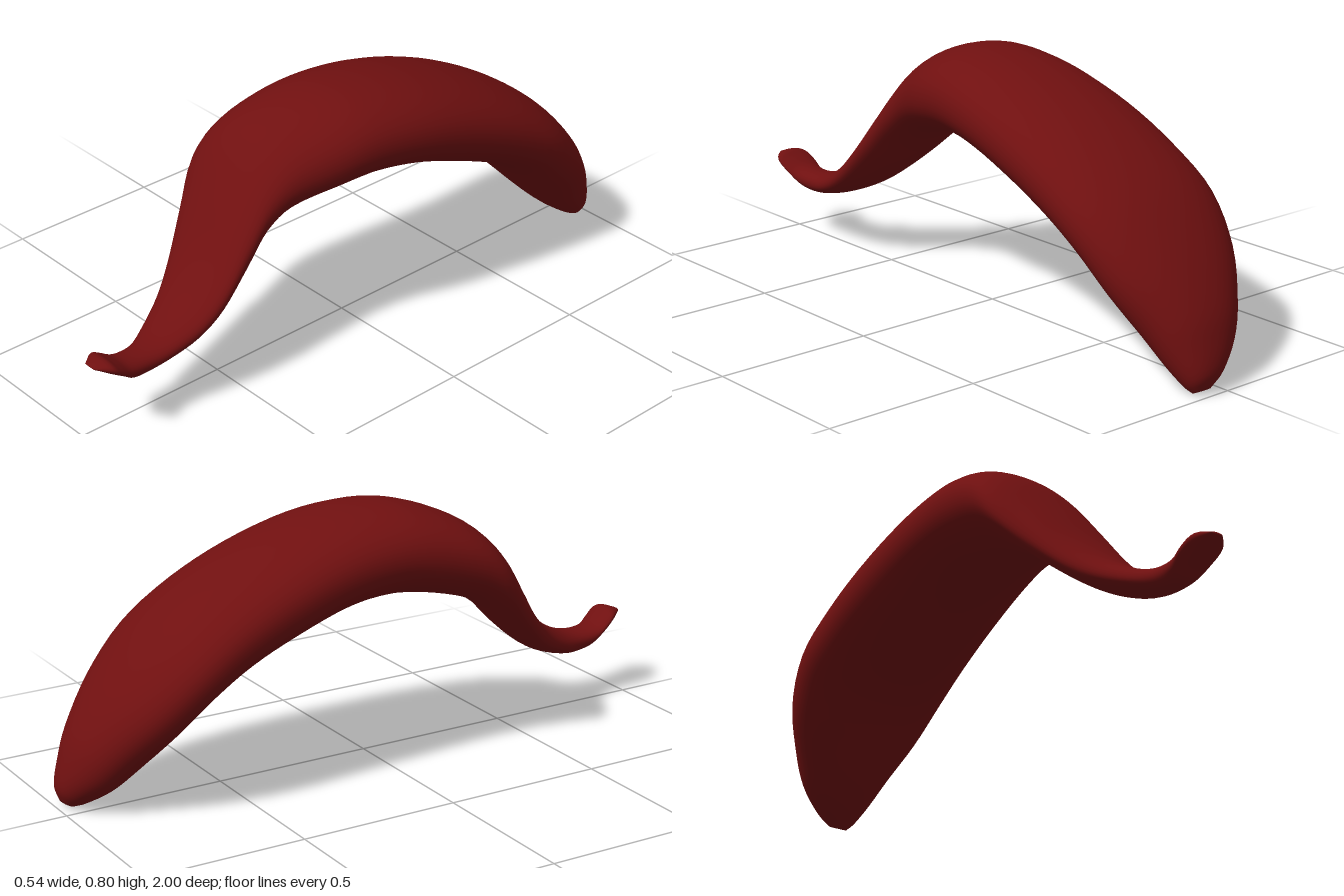
import * as THREE from 'three';

// Stations from the curled front tip to the drooping back end:
// [top z, top y, bottom z, bottom y, min x, max x]
const STATIONS = [
  [1.0, 0.275, 0.995, 0.268, 0.035, 0.075],
  [0.96, 0.287, 0.95, 0.24, 0.0, 0.112],
  [0.93, 0.27, 0.90, 0.205, -0.012, 0.108],
  [0.88, 0.243, 0.865, 0.178, -0.012, 0.095],
  [0.80, 0.24, 0.82, 0.17, -0.02, 0.09],
  [0.72, 0.265, 0.75, 0.178, -0.055, 0.10],
  [0.62, 0.33, 0.66, 0.205, -0.10, 0.12],
  [0.53, 0.425, 0.58, 0.245, -0.15, 0.127],
  [0.44, 0.55, 0.48, 0.325, -0.21, 0.12],
  [0.35, 0.665, 0.39, 0.41, -0.265, 0.115],
  [0.26, 0.735, 0.29, 0.475, -0.272, 0.135],
  [0.13, 0.785, 0.14, 0.512, -0.26, 0.19],
  [0.0, 0.80, 0.0, 0.525, -0.25, 0.22],
  [-0.18, 0.78, -0.15, 0.505, -0.248, 0.245],
  [-0.38, 0.72, -0.32, 0.45, -0.255, 0.26],
  [-0.57, 0.63, -0.48, 0.385, -0.26, 0.268],
  [-0.73, 0.52, -0.60, 0.315, -0.26, 0.265],
  [-0.86, 0.38, -0.70, 0.22, -0.22, 0.238],
  [-0.95, 0.245, -0.79, 0.125, -0.145, 0.188],
  [-0.985, 0.15, -0.86, 0.06, -0.085, 0.155],
  [-1.0, 0.07, -0.92, 0.018, -0.01, 0.125],
  [-0.985, 0.02, -0.95, 0.004, 0.04, 0.10],
];

// Smooth loft of slightly squared ellipses through the stations
function loftGeometry(stations, rings, sides) {
  const curve = (f) => new THREE.CatmullRomCurve3(stations.map(f), false, 'catmullrom');
  const top = curve((s) => new THREE.Vector3(0, s[1], s[0]));
  const bottom = curve((s) => new THREE.Vector3(0, s[3], s[2]));
  const span = curve((s) => new THREE.Vector3(s[4], s[5], 0));
  const soften = (v) => Math.sign(v) * Math.pow(Math.abs(v), 0.94);

  const positions = [];
  const index = [];
  const centres = [];
  for (let i = 0; i <= rings; i++) {
    const t = i / rings;
    const a = top.getPoint(t);
    const b = bottom.getPoint(t);
    const s = span.getPoint(t);
    const centre = a.clone().add(b).multiplyScalar(0.5).setX((s.x + s.y) / 2);
    const up = a.sub(b).multiplyScalar(0.5);
    centres.push(centre);
    for (let j = 0; j < sides; j++) {
      const angle = (j / sides) * Math.PI * 2;
      const p = centre.clone().addScaledVector(up, soften(Math.sin(angle)));
      p.x += ((s.y - s.x) / 2) * soften(Math.cos(angle));
      positions.push(p.x, p.y, p.z);
    }
  }
  for (let i = 0; i < rings; i++) {
    for (let j = 0; j < sides; j++) {
      const k = (j + 1) % sides;
      const a = i * sides + j, b = i * sides + k;
      const c = a + sides, d = b + sides;
      index.push(a, c, b, b, c, d);
    }
  }
  // Close both ends with a fan
  const front = positions.length / 3;
  const last = rings * sides;
  for (const c of [centres[0], centres[rings]]) positions.push(c.x, c.y, c.z);
  for (let j = 0; j < sides; j++) {
    const k = (j + 1) % sides;
    index.push(front, j, k, front + 1, last + k, last + j);
  }
  const geometry = new THREE.BufferGeometry();
  geometry.setAttribute('position', new THREE.Float32BufferAttribute(positions, 3));
  geometry.setIndex(index);
  geometry.computeVertexNormals();
  return geometry;
}

export function createModel() {
  const group = new THREE.Group();
  group.name = 'curvedPod';
  const darkRed = new THREE.MeshStandardMaterial({ color: 0x701010 });
  darkRed.name = 'dark red';

  // Arched body, tapering to an upturned front tip
  const body = new THREE.Mesh(loftGeometry(STATIONS, 84, 40), darkRed);
  body.name = 'body';
  group.add(body);
  return group;
}
